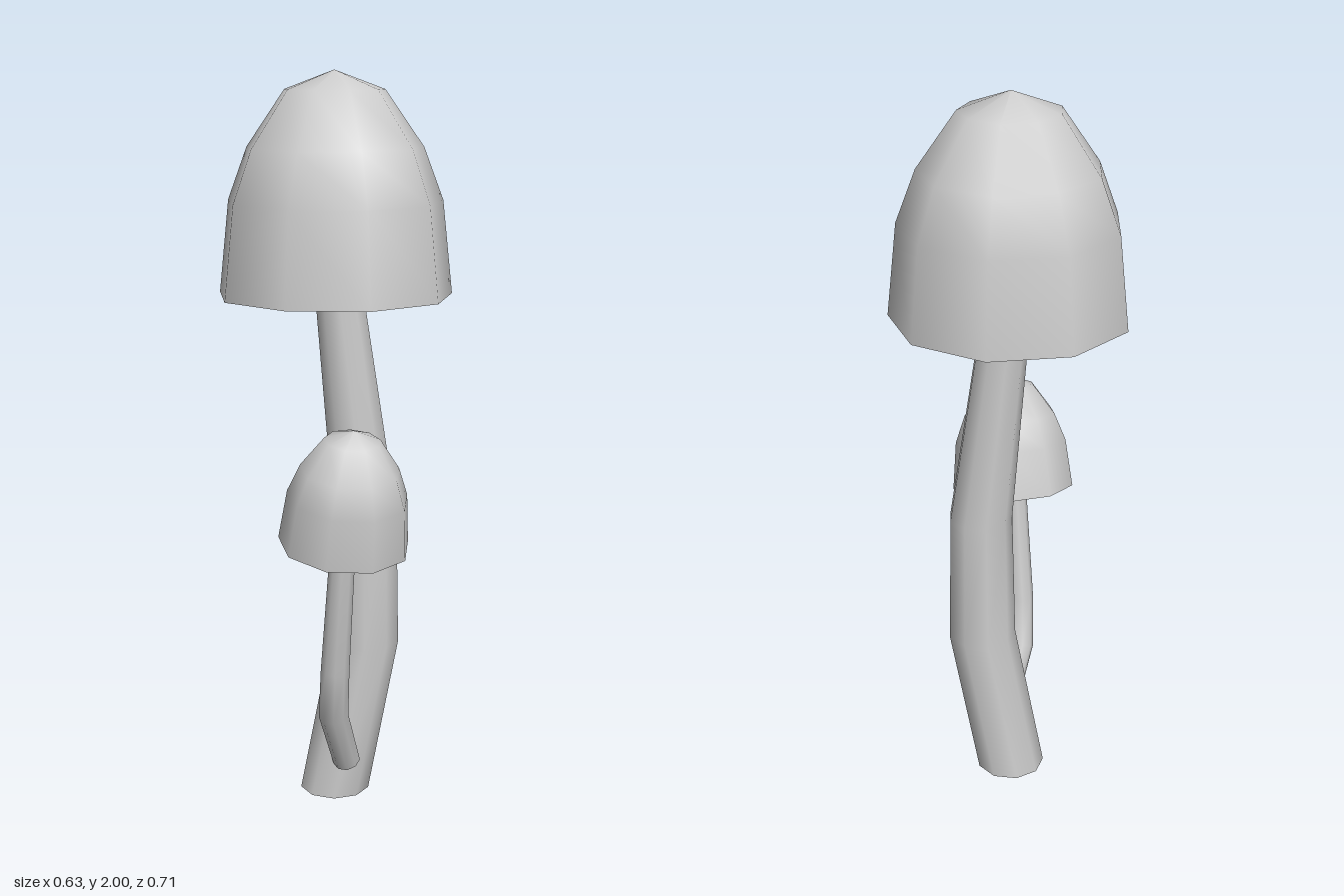
import * as THREE from 'three';
import { toCreasedNormals } from 'three/addons/utils/BufferGeometryUtils.js';

const SIDES = 9;
const material = new THREE.MeshStandardMaterial({ color: 0xcccccc });

// Bent, tapering stem: a cylinder whose rings are moved onto a list of [x, y, z, radius]
function makeStem(name, rings, flat) {
  const n = rings.length - 1;
  const centres = rings.map(([x, y, z]) => new THREE.Vector3(x, y, z));
  const up = new THREE.Vector3(0, 1, 0);
  const turns = centres.map((c, i) => {
    const along = centres[Math.min(i + 1, n)].clone().sub(centres[Math.max(i - 1, 0)]).normalize();
    return new THREE.Quaternion().setFromUnitVectors(up, flat ? up : along);
  });
  const geometry = new THREE.CylinderGeometry(1, 1, n, SIDES, n);
  const pos = geometry.attributes.position;
  const v = new THREE.Vector3();
  for (let i = 0; i < pos.count; i++) {
    v.fromBufferAttribute(pos, i);
    const k = Math.round(v.y + n / 2);
    v.setY(0).multiplyScalar(rings[k][3]).applyQuaternion(turns[k]).add(centres[k]);
    pos.setXYZ(i, v.x, v.y, v.z);
  }
  const mesh = new THREE.Mesh(toCreasedNormals(geometry, 0.9), material);
  mesh.name = name;
  return mesh;
}

// Bell-shaped cap with a shallow hollow underside; origin at the centre of the rim
function makeCap(name, phase) {
  const profiles = {
    Bell: [[0.32, 0], [0.293, 0.25], [0.24, 0.39], [0.135, 0.54], [0, 0.59]],
    Underside: [[0, 0.16], [0.32, 0]],
  };
  const cap = new THREE.Group();
  cap.name = name;
  for (const [part, profile] of Object.entries(profiles)) {
    const points = profile.map(([r, y]) => new THREE.Vector2(r, y));
    const mesh = new THREE.Mesh(
      new THREE.LatheGeometry(points, SIDES, THREE.MathUtils.degToRad(phase)), material);
    mesh.name = name + part;
    cap.add(mesh);
  }
  return cap;
}

export function createModel() {
  const model = new THREE.Group();
  model.name = 'mushrooms';

  // Tall mushroom
  model.add(makeStem('tallStem', [
    [-0.005, 0, -0.03, 0.097],
    [0.06, 0.44, 0.022, 0.096],
    [0.06, 0.81, 0.024, 0.088],
    [0.007, 1.41, -0.022, 0.066],
    [-0.005, 1.57, -0.033, 0.06],
  ], true));
  const tallCap = makeCap('tallCap', 18);
  tallCap.position.set(0, 1.41, -0.035);
  model.add(tallCap);

  // Small mushroom growing from the side of the tall stem
  model.add(makeStem('smallStem', [
    [-0.035, 0.115, 0.06, 0.038],
    [-0.122, 0.29, 0.11, 0.041],
    [-0.143, 0.43, 0.143, 0.039],
    [-0.14, 0.78, 0.172, 0.034],
    [-0.143, 0.86, 0.185, 0.032],
  ], false));
  const smallCap = makeCap('smallCap', 26);
  smallCap.position.set(-0.14, 0.79, 0.178);
  smallCap.rotation.set(0.18, 0, 0.05);
  smallCap.scale.setScalar(0.545);
  model.add(smallCap);

  return model;
}
